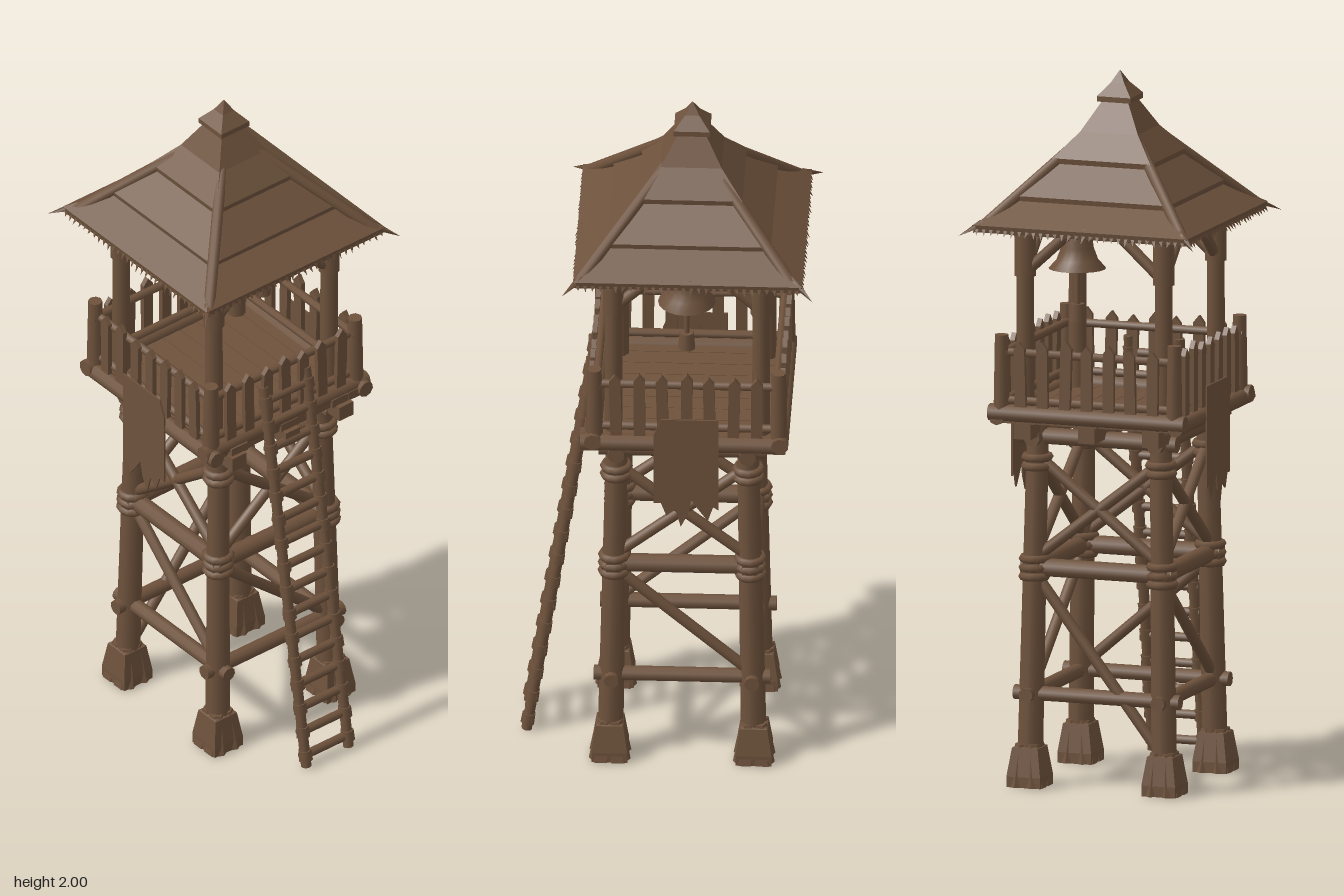
import * as THREE from 'three';

const wood = new THREE.MeshStandardMaterial({ color: 0x6e523c });
wood.name = 'brown wood';
wood.side = THREE.DoubleSide;

let seed = 7;
const rnd = () => (seed = (seed * 16807) % 2147483647) / 2147483647;
const V = (x, y, z) => new THREE.Vector3(x, y, z);
const UP = V(0, 1, 0);

export function createModel() {
  const root = new THREE.Group();
  root.name = 'watchtower';

  function add(name, geo, x = 0, y = 0, z = 0, parent = root) {
    const m = new THREE.Mesh(geo, wood);
    m.name = name;
    m.position.set(x, y, z);
    parent.add(m);
    return m;
  }
  const box = (name, w, h, d, x, y, z) => add(name, new THREE.BoxGeometry(w, h, d), x, y, z);
  // Round log between two points
  function log(name, a, b, r0, r1 = r0, sides = 9) {
    const d = b.clone().sub(a);
    const m = add(name, new THREE.CylinderGeometry(r1, r0, d.length(), sides));
    m.position.copy(a).add(b).multiplyScalar(0.5);
    m.quaternion.setFromUnitVectors(UP, d.normalize());
    return m;
  }
  const flat = (g) => {
    const n = g.toNonIndexed();
    n.computeVertexNormals();
    return n;
  };
  // Four-sided shell with its faces along the axes; half widths and heights
  const pyramid = (pts) => flat(new THREE.LatheGeometry(
    pts.map(([h, y]) => new THREE.Vector2(h * Math.SQRT2, y)), 4).rotateY(Math.PI / 4));

  const LZ = -0.055, TZ = -0.07;   // depth centres of the legs and of the top
  const legHalf = (y) => 0.2 - 0.018 * y;
  const leg = (sx, sz, y) => V(sx * legHalf(y), y, LZ + sz * legHalf(y));

  // Legs, feet, rope bindings, upper posts
  for (const sx of [-1, 1]) for (const sz of [-1, 1]) {
    log('leg', leg(sx, sz, 0), leg(sx, sz, 1.04), 0.036, 0.03, 10);
    const f = leg(sx, sz, 0);
    for (let i = 0; i < 4; i++) {
      const g = new THREE.CylinderGeometry(0.02, 0.034, 0.12, 6).translate(0, 0.06, 0);
      const a = Math.PI / 4 + i * Math.PI / 2;
      const p = g.attributes.position;
      for (let k = 0; k < p.count; k++) { // lean the stones towards the leg
        const s = 0.034 - 0.1 * p.getY(k);
        p.setX(k, p.getX(k) + Math.cos(a) * s);
        p.setZ(k, p.getZ(k) + Math.sin(a) * s);
      }
      add('footStone', flat(g), f.x, 0, f.z);
    }
    add('footCore', pyramid([[0, 0.125], [0.038, 0.11], [0.05, 0.03], [0.05, 0], [0, 0]]), f.x, 0, f.z);
    for (const y of [0.59, 0.615, 0.64, 0.9, 0.925]) {
      const q = leg(sx, sz, y);
      add('ropeBinding', new THREE.TorusGeometry(0.034, 0.012, 6, 12).rotateX(Math.PI / 2), q.x, y, q.z);
    }
    const px = sx * 0.205, pz = TZ + sz * 0.205;
    log('upperPost', V(px, 1.02, pz), V(px, 1.6, pz), 0.026, 0.024);
    log('postHead', V(px, 1.44, pz), V(px, 1.57, pz), 0.03);
    // Knee braces below the roof
    log('kneeBrace', V(px, 1.45, pz), V(sx * 0.085, 1.56, pz), 0.016);
    log('kneeBrace', V(px, 1.45, pz), V(px, 1.56, TZ + sz * 0.085), 0.016);
    log('hipRafter', V(sx * 0.3, 1.585, TZ + sz * 0.3), V(0, 1.9, TZ), 0.016);
  }

  // Cross beams and diagonal braces on the four faces
  for (const [y, r, over] of [[0.26, 0.021, 0.05], [0.615, 0.026, 0.035], [0.985, 0.024, 0.05]]) {
    const h = legHalf(y), e = h + over;
    for (const s of [-1, 1]) {
      log('crossBeam', V(-e, y, LZ + s * h), V(e, y, LZ + s * h), r);
      log('crossBeam', V(s * h, y, LZ - e), V(s * h, y, LZ + e), r);
    }
  }
  const faces = [[[-1, 1], [1, 1]], [[1, 1], [1, -1]], [[1, -1], [-1, -1]], [[-1, -1], [-1, 1]]];
  faces.forEach(([a, b], i) => {
    log('brace', leg(...a, 0.64), leg(...b, 0.93), 0.016);
    log('brace', leg(...b, 0.64), leg(...a, 0.93), 0.016);
    log('brace', leg(...a, 0.6), leg(...b, i === 2 ? 0.1 : 0.27), 0.016);
  });

  // Platform
  for (let i = 0; i < 9; i++)
    box('floorPlank', 0.058, 0.026, 0.53 + 0.03 * rnd(), -0.24 + i * 0.06, 1.045, -0.06);
  for (const x of [-0.19, 0, 0.19]) box('joist', 0.05, 0.045, 0.57, x, 1.012, -0.055);
  for (const s of [-1, 1]) {
    log('platformEdge', V(-0.29, 1.06, TZ + s * 0.26), V(0.29, 1.06, TZ + s * 0.26), 0.024);
    log('platformEdge', V(s * 0.265, 1.05, TZ - 0.275), V(s * 0.265, 1.05, TZ + 0.295), 0.024);
  }

  // Railing: corner posts, rails and pointed pickets
  const ps = new THREE.Shape([[-0.016, 0], [0.016, 0], [0.016, 0.17], [0, 0.19], [-0.016, 0.17]]
    .map((p) => new THREE.Vector2(...p)));
  const picketGeo = new THREE.ExtrudeGeometry(ps, { depth: 0.014, bevelEnabled: false }).translate(0, 0, -0.007);
  for (let side = 0; side < 4; side++) {
    const g = new THREE.Group();
    g.name = 'railingSide';
    g.position.z = TZ;
    g.rotation.y = side * Math.PI / 2;
    root.add(g);
    add('cornerPost', new THREE.CylinderGeometry(0.02, 0.024, 0.22, 8), 0.256, 1.17, 0.256, g);
    for (const y of [1.095, 1.23])
      add('rail', new THREE.CylinderGeometry(0.012, 0.012, 0.54, 7).rotateZ(Math.PI / 2), 0, y, 0.25, g);
    for (let i = -3; i <= 3; i++) {
      const m = add('picket', picketGeo, i * 0.065, 1.075, 0.265, g);
      m.scale.y = 0.96 + 0.1 * rnd();
      m.rotation.z = (rnd() - 0.5) * 0.06;
    }
  }

  // Ragged hides hung over both side railings
  const hide = new THREE.Shape([[-0.02, 1.09], [0.0, 1.14], [0.16, 1.14], [0.16, 0.85], [0.145, 0.86], [0.13, 0.815],
    [0.105, 0.85], [0.085, 0.88], [0.075, 0.835], [0.055, 0.795], [0.04, 0.85], [0.015, 0.83], [0, 0.87], [-0.02, 0.87]]
    .map((p) => new THREE.Vector2(...p)));
  for (const s of [-1, 1])
    add('hangingHide', new THREE.ExtrudeGeometry(hide, { depth: 0.005, bevelEnabled: false })
      .rotateY(Math.PI / 2), s * 0.288 - 0.0025, 0, 0);

  // Ladder leaning on the front
  const ladderZ = (y) => 0.382 - 0.158 * y;
  for (const s of [-1, 1]) log('ladderRail', V(s * 0.075, 0, ladderZ(0)), V(s * 0.075, 1.2, ladderZ(1.2)), 0.015);
  for (let i = 0; i < 16; i++) {
    const y = 0.035 + i * 0.0745, z = ladderZ(y);
    log('rung', V(-0.09, y, z), V(0.09, y, z), 0.013, 0.013, 7);
    for (const s of [-1, 1]) log('rungLashing', V(s * 0.075, y - 0.016, z + 0.003), V(s * 0.075, y + 0.016, z - 0.002), 0.02, 0.019, 7);
  }

  // Bell and clapper
  const prof = [[0, 1.575], [0.03, 1.57], [0.038, 1.55], [0.045, 1.49], [0.058, 1.455], [0.08, 1.43], [0.07, 1.428], [0.04, 1.47], [0, 1.54]];
  add('bell', new THREE.LatheGeometry(prof.map((p) => new THREE.Vector2(...p)), 20), 0.13, 0, -0.065);
  log('clapperRope', V(0.13, 1.32, -0.065), V(0.13, 1.54, -0.065), 0.008);
  log('clapperWeight', V(0.13, 1.28, -0.065), V(0.13, 1.33, -0.065), 0.024, 0.02);
  log('bellBeam', V(0.13, 1.585, TZ - 0.22), V(0.13, 1.585, TZ + 0.22), 0.02);

  // Top plates carrying the roof
  for (const s of [-1, 1]) {
    log('topPlate', V(-0.25, 1.575, TZ + s * 0.205), V(0.25, 1.575, TZ + s * 0.205), 0.024);
    log('topPlate', V(s * 0.205, 1.575, TZ - 0.25), V(s * 0.205, 1.575, TZ + 0.25), 0.024);
  }

  // Thatched roof in three overlapping tiers with a small cap
  const RZ = -0.075;
  add('thatchRoof', pyramid([[0.03, 1.93], [0.085, 1.835], [0.145, 1.765], [0.143, 1.75], [0.135, 1.755],
    [0.228, 1.668], [0.226, 1.654], [0.215, 1.66], [0.318, 1.595], [0.314, 1.575], [0.2, 1.64], [0.03, 1.88]]), 0, 0, RZ);
  add('roofCap', pyramid([[0, 2], [0.02, 1.965], [0.05, 1.93], [0.05, 1.915], [0, 1.915]]), 0, 0, RZ);

  // Straw fringe along the eaves and long straws at the corners
  for (let side = 0; side < 4; side++) {
    const g = new THREE.Group();
    g.name = 'eaveFringe';
    g.position.z = RZ;
    g.rotation.y = side * Math.PI / 2;
    root.add(g);
    for (let i = 0; i < 30; i++) {
      const len = i === 15 ? 0.045 : 0.022 + 0.02 * rnd();
      const c = new THREE.ConeGeometry(0.011, len, 3).rotateX(Math.PI * 0.8).scale(1, 1, 0.8);
      add('straw', flat(c), -0.305 + i * 0.021, 1.58, 0.315, g).rotation.z = (rnd() - 0.5) * 0.6;
    }
    const spike = add('cornerStraw', new THREE.ConeGeometry(0.012, 0.08, 4), 0.322, 1.583, 0.322, g);
    spike.quaternion.setFromUnitVectors(UP, V(1, -0.6, 1).normalize());
  }
  return root;
}
